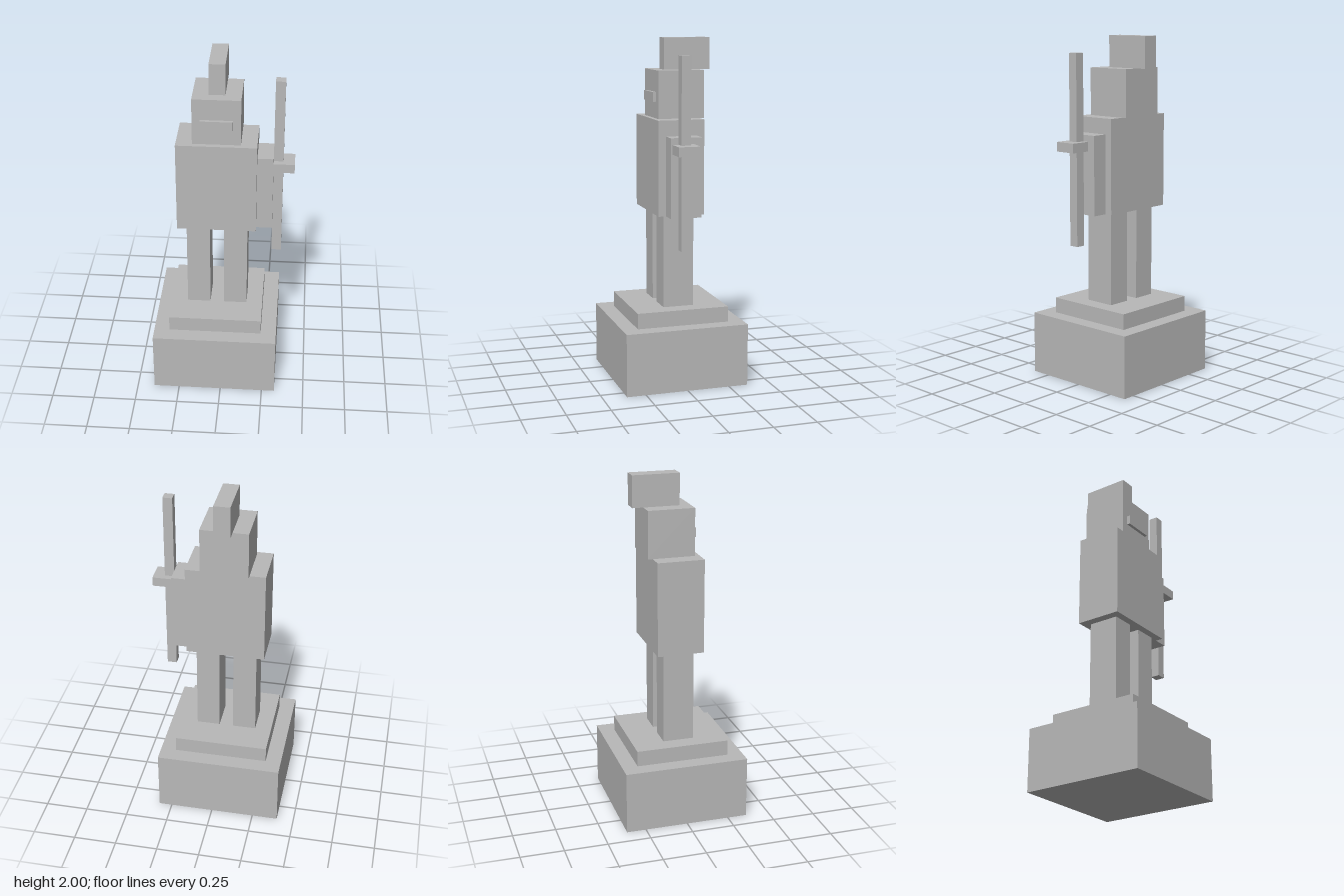
import * as THREE from 'three';

export function createModel() {
  const model = new THREE.Group();
  model.name = 'guardStatue';
  const stone = new THREE.MeshStandardMaterial({ color: 0xb8b8b8 });
  stone.name = 'stone grey';

  // Block spanning the given [min, max] range on each axis
  const block = (name, [x0, x1], [y0, y1], [z0, z1]) => {
    const mesh = new THREE.Mesh(new THREE.BoxGeometry(x1 - x0, y1 - y0, z1 - z0), stone);
    mesh.position.set((x0 + x1) / 2, (y0 + y1) / 2, (z0 + z1) / 2);
    mesh.name = name;
    model.add(mesh);
  };

  // Stepped pedestal
  block('pedestal', [-0.4, 0.326], [0, 0.364], [-0.363, 0.363]);
  block('pedestalStep', [-0.31, 0.235], [0.364, 0.455], [-0.273, 0.272]);

  // Legs, mirrored about the body centre line
  const bodyX = -0.037, legOffset = 0.109, legHalf = 0.068;
  for (const [name, side] of [['rightLeg', -1], ['leftLeg', 1]]) {
    const x = bodyX + side * legOffset;
    block(name, [x - legHalf, x + legHalf], [0.455, 1.0], [-0.09, 0.091]);
  }

  // Body and head
  block('torso', [-0.265, 0.19], [1.0, 1.545], [-0.137, 0.135]);
  block('head', [-0.173, 0.099], [1.545, 1.818], [-0.165, 0.107]);
  block('visor', [-0.128, 0.054], [1.64, 1.695], [0.107, 0.126]);
  block('helmetCrest', [-0.083, 0.009], [1.818, 2.0], [-0.228, 0.045]);

  // Left arm with the upright weapon and its crossguard
  block('leftArm', [0.19, 0.281], [1.0, 1.455], [-0.092, 0.09]);
  block('weaponShaft', [0.281, 0.336], [0.82, 1.91], [-0.01, 0.045]);
  block('crossguard', [0.277, 0.4], [1.364, 1.418], [-0.046, 0.081]);

  return model;
}
